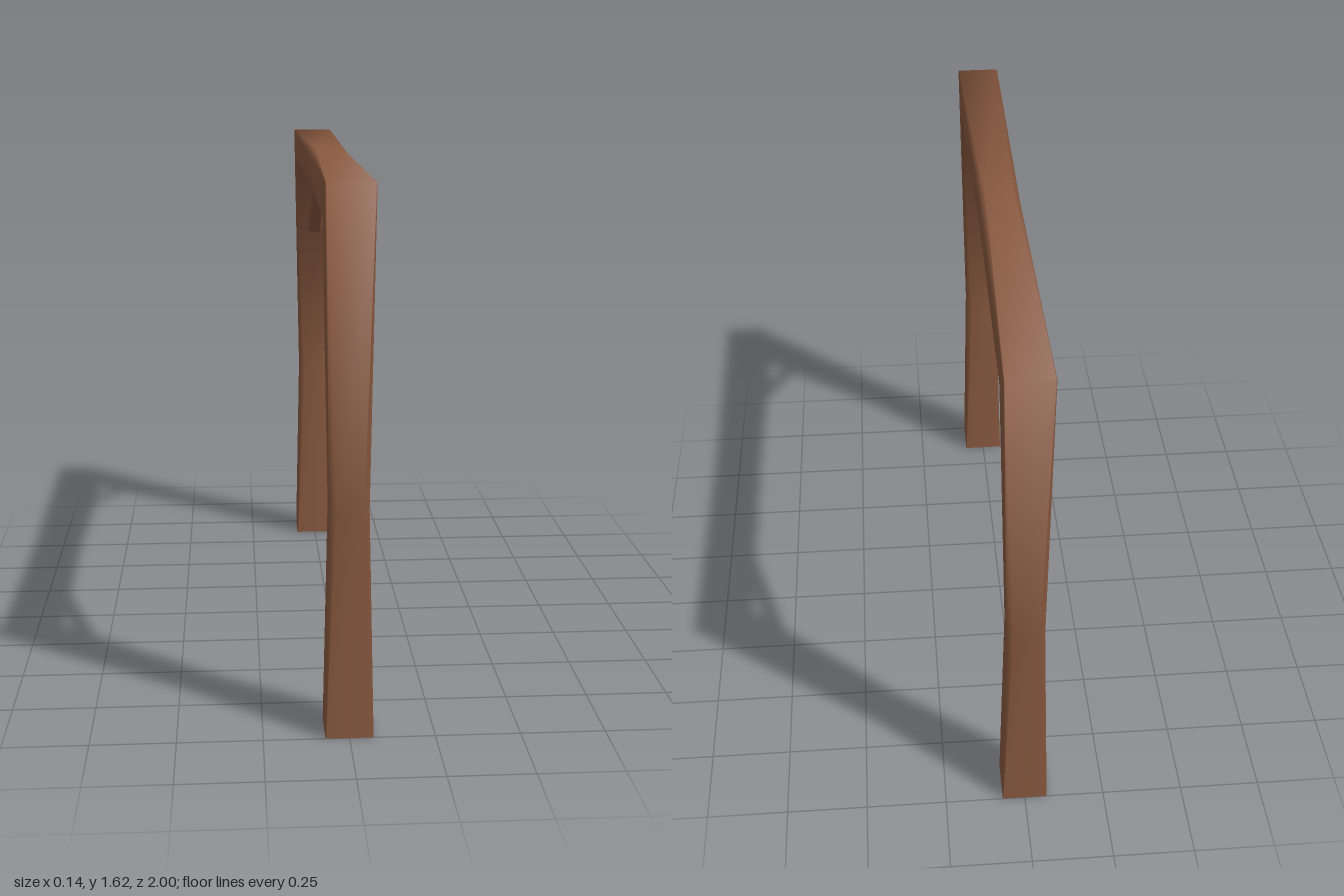
import * as THREE from 'three';

// Hollow frame swept through cross-sections with chamfered corners
function sweepFrame(rings) {
  const pos = [], idx = [];
  for (const { y, z, uy, uz, hx, c } of rings) {
    const k = 1 - c;
    const section = [[1, -k], [1, k], [k, 1], [-k, 1], [-1, k], [-1, -k], [-k, -1], [k, -1]];
    for (const [u, x] of section) pos.push(x * hx, y + u * uy, z + u * uz);
  }
  for (let r = 0; r < rings.length - 1; r++) {
    for (let i = 0; i < 8; i++) {
      const a = r * 8 + i, b = r * 8 + (i + 1) % 8;
      idx.push(a, b, b + 8, a, b + 8, a + 8);
    }
  }
  const g = new THREE.BufferGeometry();
  g.setAttribute('position', new THREE.Float32BufferAttribute(pos, 3));
  g.setIndex(idx);
  g.computeVertexNormals();
  return g;
}

export function createModel() {
  const group = new THREE.Group();
  const wood = new THREE.MeshStandardMaterial({ color: 0x8a5a40, side: THREE.DoubleSide });
  wood.name = 'brown wood';

  // Post foot, slim post middle, mitred corner
  const half = [
    { y: 0, z: 0.93, uy: 0, uz: 0.07, hx: 0.07, c: 0.04 },
    { y: 0.68, z: 0.928, uy: 0, uz: 0.057, hx: 0.057, c: 0.3 },
    { y: 1.5525, z: 0.93, uy: 0.0525, uz: 0.07, hx: 0.07, c: 0.04 },
  ];
  const beamMiddle = { y: 1.554, z: 0, uy: 0.061, uz: 0, hx: 0.063, c: 0.3 };
  const mirrored = half.map(r => ({ ...r, z: -r.z, uz: -r.uz })).reverse();
  const frame = new THREE.Mesh(sweepFrame([...half, beamMiddle, ...mirrored]), wood);
  frame.name = 'postsAndBeam';
  group.add(frame);

  // Diagonal braces between the posts and the beam
  for (const s of [1, -1]) {
    const from = new THREE.Vector3(0, 1.227, s * 0.88);
    const to = new THREE.Vector3(0, 1.515, s * 0.425);
    const dir = to.clone().sub(from);
    const geo = new THREE.CylinderGeometry(1, 1, dir.length(), 8);
    geo.scale(0.028, 1, 0.016);
    const brace = new THREE.Mesh(geo, wood);
    brace.position.copy(from).add(to).multiplyScalar(0.5);
    brace.rotation.x = Math.atan2(dir.z, dir.y);
    brace.name = s > 0 ? 'frontBrace' : 'backBrace';
    group.add(brace);
  }
  return group;
}
